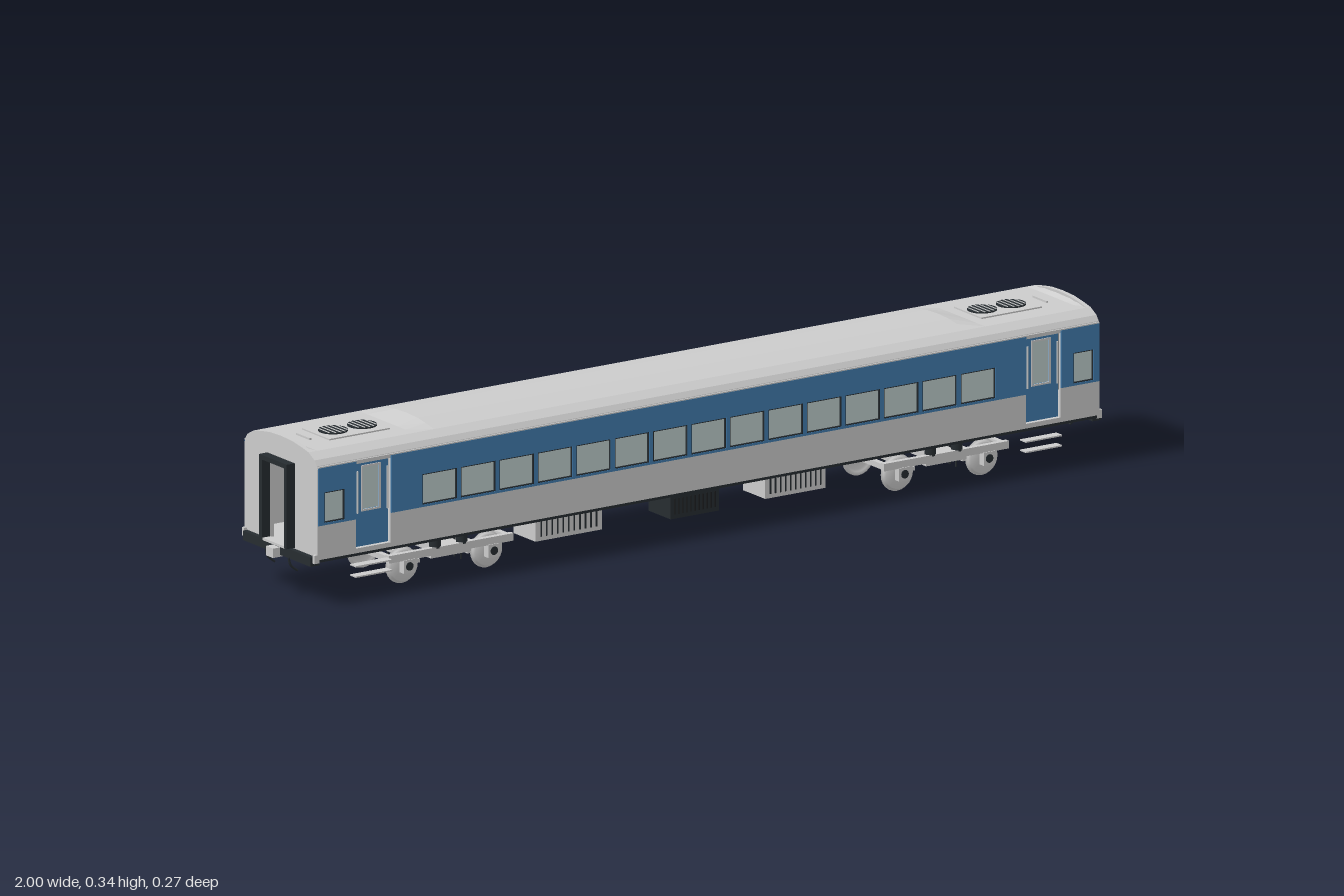
import * as THREE from 'three';

const mat = (color) => new THREE.MeshStandardMaterial({ color });
const GREY = mat(0xcccccc), BLUE = mat(0x427cad), DARK = mat(0x262c30), GLASS = mat(0xbdcccb), BLACK = mat(0x1c1e20);
const ROOF = new THREE.MeshStandardMaterial({ color: 0xcccccc, flatShading: true, side: THREE.DoubleSide });

function add(parent, name, geo, m, x = 0, y = 0, z = 0) {
  const mesh = new THREE.Mesh(geo, m);
  mesh.name = name;
  mesh.position.set(x, y, z);
  parent.add(mesh);
  return mesh;
}
const box = (p, name, m, w, h, d, x, y, z) => add(p, name, new THREE.BoxGeometry(w, h, d), m, x, y, z);
// Cylinder along a chosen axis
function cyl(p, name, m, r, len, axis, x, y, z, seg = 16) {
  const g = new THREE.CylinderGeometry(r, r, len, seg);
  if (axis === 'x') g.rotateZ(Math.PI / 2);
  if (axis === 'z') g.rotateX(Math.PI / 2);
  return add(p, name, g, m, x, y, z);
}
function group(parent, name) {
  const g = new THREE.Group();
  g.name = name;
  parent.add(g);
  return g;
}
function rect(C, x0, x1, y0, y1) {
  const s = new C();
  s.moveTo(x0, y0);
  s.lineTo(x1, y0); s.lineTo(x1, y1); s.lineTo(x0, y1); s.lineTo(x0, y0);
  return s;
}
// Flat panel with rectangular holes, given as [x0, x1, y0, y1]
function panel(p, name, m, r, holes, depth, z) {
  const s = rect(THREE.Shape, ...r);
  for (const h of holes) s.holes.push(rect(THREE.Path, ...h));
  return add(p, name, new THREE.ExtrudeGeometry(s, { depth, bevelEnabled: false }), m, 0, 0, z);
}

// Half roof section as [z, y]
const HALF = [[0.132, 0.295], [0.13, 0.302], [0.122, 0.313], [0.1, 0.325], [0.07, 0.331], [0.04, 0.3355], [0, 0.337]];
const SECTION = [...HALF, ...HALF.slice(0, -1).reverse().map(([z, y]) => [-z, y])];

// Roof lofted along x, pressed flat where the end wells are
function roofGeometry() {
  const stations = [[-0.97, 0.337], [-0.95, 0.325], [-0.71, 0.325], [-0.66, 0.337],
    [0.66, 0.337], [0.71, 0.325], [0.95, 0.325], [0.97, 0.337]];
  const pos = [], idx = [], n = SECTION.length;
  for (const [x, cap] of stations) for (const [z, y] of SECTION) pos.push(x, Math.min(y, cap), z);
  for (let i = 0; i < stations.length - 1; i++) {
    for (let j = 0; j < n - 1; j++) {
      const a = i * n + j, b = a + n;
      idx.push(a, b, a + 1, b, b + 1, a + 1);
    }
  }
  const g = new THREE.BufferGeometry();
  g.setAttribute('position', new THREE.Float32BufferAttribute(pos, 3));
  g.setIndex(idx);
  g.computeVertexNormals();
  return g;
}

// One long side: grey wall, blue band, windows, doors and steps
function side(parent) {
  const g = group(parent, 'sideWall');
  const windows = [], doors = [];
  const pitch = 0.0955;
  for (let i = -7; i <= 7; i++) windows.push([i * pitch - 0.043, i * pitch + 0.043, 0.18, 0.245]);
  for (const s of [-1, 1]) {
    windows.push([s * 0.93 - 0.025, s * 0.93 + 0.025, 0.18, 0.245]);
    doors.push([s * 0.832 - 0.043, s * 0.832 + 0.043, 0.112, 0.292]);
  }
  panel(g, 'greyWall', GREY, [-0.97, 0.97, 0.102, 0.298], [...windows, ...doors], 0.008, 0.124);
  for (const [x0, x1, band] of [[-0.97, -0.875, windows.filter((w) => w[1] < -0.88)],
    [-0.789, 0.789, windows.filter((w) => Math.abs(w[0]) < 0.8)],
    [0.875, 0.97, windows.filter((w) => w[0] > 0.88)]]) {
    panel(g, 'blueBand', BLUE, [x0, x1, 0.175, 0.298], band, 0.0025, 0.132);
  }
  for (const [x0, x1, y0, y1] of windows) {
    const w = x1 - x0, h = y1 - y0, x = (x0 + x1) / 2, y = (y0 + y1) / 2;
    box(g, 'windowPane', GLASS, w, h, 0.002, x, y, 0.128);
    panel(g, 'windowFrame', DARK, [x0, x1, y0, y1], [[x0 + 0.002, x1 - 0.002, y0 + 0.002, y1 - 0.002]], 0.004, 0.1295);
  }
  for (const s of [-1, 1]) {
    const x = s * 0.832;
    // Recessed door with a tall pane
    const hole = [x - 0.02, x + 0.02, 0.19, 0.28];
    panel(g, 'door', BLUE, [x - 0.043, x + 0.043, 0.112, 0.292], [hole], 0.006, 0.116);
    panel(g, 'doorWindowFrame', GREY, [x - 0.024, x + 0.024, 0.186, 0.284], [hole], 0.003, 0.121);
    box(g, 'doorPane', GLASS, 0.04, 0.09, 0.002, x, 0.235, 0.119);
    for (const h of [-1, 1]) cyl(g, 'handrail', GREY, 0.0018, 0.09, 'y', x + h * 0.037, 0.23, 0.129, 6);
    for (const y of [0.052, 0.074]) box(g, 'step', GREY, 0.09, 0.003, 0.021, x, y, 0.1245);
  }
  box(g, 'sill', DARK, 1.94, 0.008, 0.008, 0, 0.1, 0.127);
  box(g, 'gutter', GREY, 1.94, 0.003, 0.004, 0, 0.299, 0.132);
  return g;
}

// One carriage end facing +x
function carriageEnd(parent) {
  const g = group(parent, 'carriageEnd');
  const s = new THREE.Shape();
  s.moveTo(-0.132, 0.105);
  s.lineTo(0.132, 0.105);
  for (const [z, y] of SECTION) s.lineTo(z, y);
  s.closePath();
  s.holes.push(rect(THREE.Path, -0.04, 0.04, 0.112, 0.28));
  const wall = add(g, 'endWall', new THREE.ExtrudeGeometry(s, { depth: 0.01, bevelEnabled: false }), GREY, 0.961);
  wall.rotation.y = Math.PI / 2;
  // Gangway surround
  for (const z of [-0.045, 0.045]) box(g, 'gangwayPost', DARK, 0.022, 0.18, 0.01, 0.98, 0.2, z);
  box(g, 'gangwayTop', DARK, 0.022, 0.01, 0.1, 0.98, 0.285, 0);
  box(g, 'gangwayPlate', GREY, 0.02, 0.005, 0.08, 0.98, 0.111, 0);
  box(g, 'headstock', DARK, 0.022, 0.02, 0.246, 0.971, 0.098, 0);
  // Coupler and hoses
  box(g, 'couplerShank', GREY, 0.06, 0.014, 0.014, 0.96, 0.092, 0);
  box(g, 'couplerHead', GREY, 0.024, 0.02, 0.026, 0.988, 0.094, 0);
  for (const z of [-0.048, 0.035]) {
    const hose = new THREE.CatmullRomCurve3([new THREE.Vector3(0.985, 0.09, z), new THREE.Vector3(0.98, 0.074, z), new THREE.Vector3(0.963, 0.06, z)]);
    add(g, 'brakeHose', new THREE.TubeGeometry(hose, 8, 0.0025, 6), DARK);
  }
  for (const z of [-0.128, 0.128]) box(g, 'cornerStep', GREY, 0.012, 0.018, 0.008, 0.972, 0.104, z);
  // Roof well equipment
  box(g, 'roofHatch', GREY, 0.15, 0.004, 0.1, 0.81, 0.326, 0);
  box(g, 'roofRib', GREY, 0.004, 0.004, 0.05, 0.915, 0.327, 0);
  for (const x of [0.77, 0.842]) {
    cyl(g, 'fan', DARK, 0.031, 0.003, 'y', x, 0.329, 0, 24);
    for (let i = -2; i <= 2; i++) box(g, 'fanGrille', GREY, 0.0025, 0.001, 2 * Math.sqrt(0.0009 - (i * 0.011) ** 2), x + i * 0.011, 0.331, 0);
  }
  return g;
}

// Two-axle bogie centred on x = 0
function bogie(parent) {
  const g = group(parent, 'bogie');
  const tread = [[0.008, -0.006], [0.033, -0.006], [0.034, 0.003], [0.039, 0.003], [0.039, 0.006], [0.031, 0.006], [0.027, 0.002], [0.008, 0.004]];
  for (const x of [-0.105, 0.105]) {
    cyl(g, 'axle', GREY, 0.006, 0.18, 'z', x, 0.04, 0);
    for (const s of [-1, 1]) {
      const w = new THREE.LatheGeometry(tread.map(([r, y]) => new THREE.Vector2(r, y)), 24).rotateX(-s * Math.PI / 2);
      add(g, 'wheel', w, new THREE.MeshStandardMaterial({ color: 0xcccccc, side: THREE.DoubleSide }), x, 0.039, s * 0.075);
      cyl(g, 'hub', GREY, 0.012, 0.016, 'z', x, 0.04, s * 0.075);
      box(g, 'axleBox', GREY, 0.028, 0.028, 0.016, x, 0.042, s * 0.092);
      cyl(g, 'bearingCap', DARK, 0.009, 0.003, 'z', x, 0.042, s * 0.1);
      for (const z of [0.025, 0.048]) box(g, 'brakeRod', DARK, 0.003, 0.042, 0.003, x * 0.55, 0.041, s * z);
    }
    box(g, 'brakeBeam', GREY, 0.008, 0.008, 0.14, x * 0.6, 0.04, 0);
    box(g, 'endTransom', GREY, 0.012, 0.012, 0.18, x * 1.4, 0.062, 0);
  }
  for (const s of [-1, 1]) {
    box(g, 'sideFrame', GREY, 0.31, 0.016, 0.012, 0, 0.063, s * 0.092);
    for (const x of [-0.033, 0.033]) cyl(g, 'spring', DARK, 0.012, 0.026, 'y', x, 0.081, s * 0.087, 12);
    box(g, 'springPlank', GREY, 0.1, 0.008, 0.018, 0, 0.053, s * 0.088);
  }
  box(g, 'bolster', GREY, 0.06, 0.016, 0.18, 0, 0.062, 0);
  cyl(g, 'centrePivot', DARK, 0.022, 0.03, 'y', 0, 0.082, 0);
  return g;
}

// Equipment slung below the floor
function equipment(parent) {
  const g = group(parent, 'underfloorEquipment');
  for (const [x, w, y, h, m, bars] of [[-0.318, 0.165, 0.066, 0.05, GREY, DARK], [-0.005, 0.12, 0.061, 0.052, DARK, BLACK], [0.245, 0.15, 0.066, 0.05, GREY, DARK]]) {
    box(g, 'equipmentCase', m, w, h, 0.08, x, y, 0.05);
    box(g, 'caseMount', DARK, w * 0.8, 0.02, 0.06, x, 0.09, 0.05);
    for (let i = -5; i <= 5; i++) box(g, 'caseLouvre', bars, 0.003, h * 0.65, 0.002, x + i * w * 0.083, y, 0.0905);
  }
  for (const x of [-0.075, 0.145]) {
    cyl(g, 'airTank', GREY, 0.016, 0.09, 'x', x, 0.056, -0.05);
    for (const s of [-1, 1]) box(g, 'tankStrap', DARK, 0.005, 0.036, 0.008, x + s * 0.028, 0.08, -0.05);
  }
}

export function createModel() {
  const model = new THREE.Group();
  model.name = 'railwayCarriage';
  add(model, 'roof', roofGeometry(), ROOF);
  box(model, 'underframe', BLACK, 1.94, 0.012, 0.25, 0, 0.101, 0);
  box(model, 'floor', GREY, 1.93, 0.003, 0.246, 0, 0.1085, 0);
  for (const turn of [0, Math.PI]) {
    side(model).rotation.y = turn;
    carriageEnd(model).rotation.y = turn;
    const b = bogie(model);
    b.position.x = turn ? -0.615 : 0.615;
    b.rotation.y = turn;
  }
  equipment(model);
  // Attendant's seat inside the vestibule
  const seat = group(model, 'attendantSeat');
  seat.position.set(0.9, 0, -0.018);
  cyl(seat, 'seatPost', GREY, 0.004, 0.04, 'y', 0, 0.128, 0);
  box(seat, 'seatCushion', BLUE, 0.036, 0.012, 0.036, 0, 0.153, 0);
  box(seat, 'seatBack', BLUE, 0.008, 0.056, 0.034, -0.016, 0.182, 0);
  return model;
}
